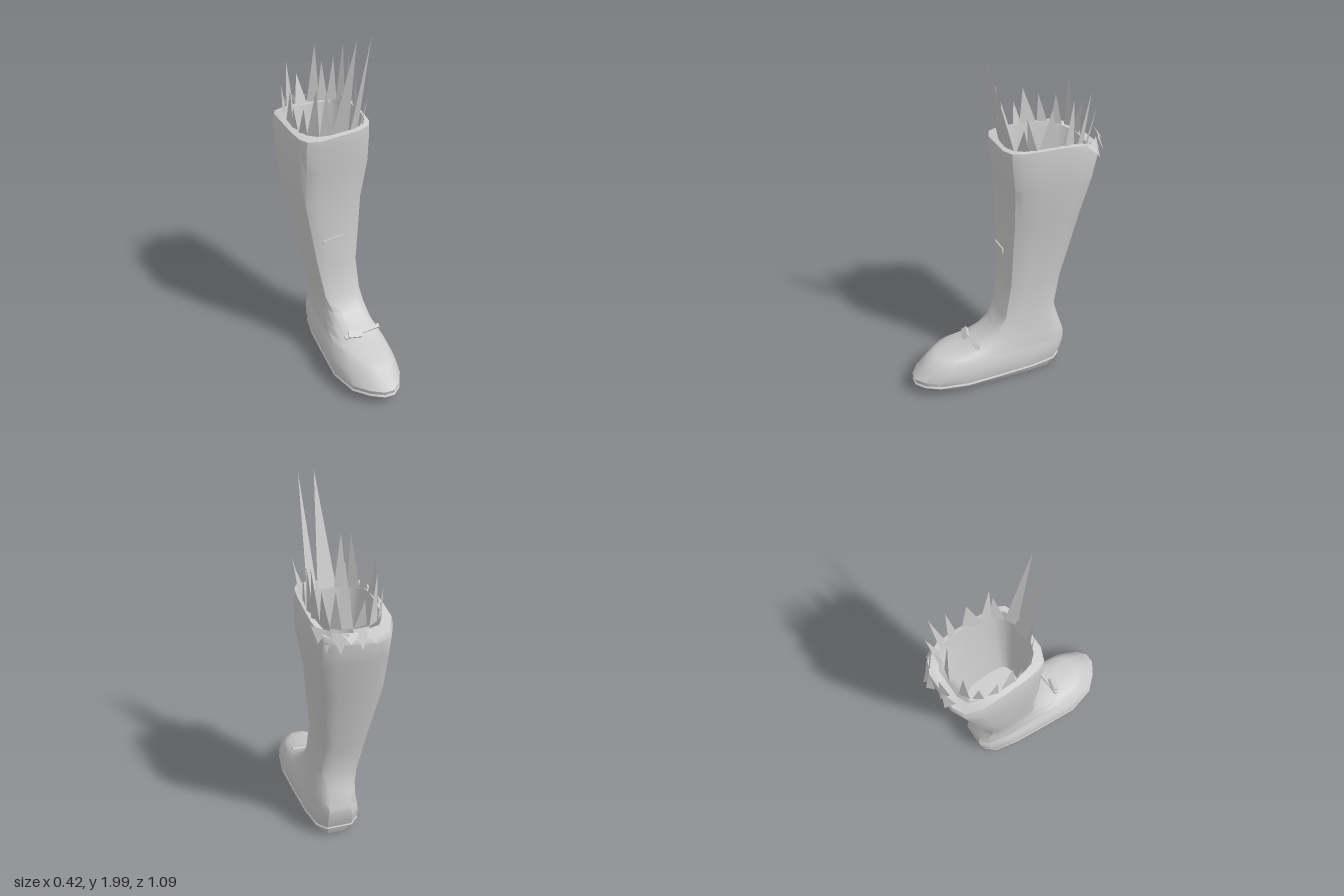
import * as THREE from 'three';
import { mergeGeometries, toCreasedNormals } from 'three/addons/utils/BufferGeometryUtils.js';

// Half outlines from back to front: [fraction of length, shaft width, foot width]
const OUTLINE = [
  [0, 0.5, 0.4], [0.06, 0.82, 0.68], [0.22, 1, 0.84], [0.45, 1, 0.93],
  [0.68, 0.98, 1], [0.86, 0.95, 0.82], [0.95, 0.86, 0.5], [1, 0.55, 0.16],
];

// One horizontal ring, counter-clockwise from above; k blends shaft to foot and
// swings the toe inward, droop lowers the back and lean tilts the ring sideways
function ring([y, zF, zB, xL, xR, k, droop = 0, lean = 0]) {
  const cx = (xL + xR) / 2, hw = (xR - xL) / 2;
  const side = (s) => OUTLINE.map(([t, a, b]) => {
    const x = cx + s * hw * (a + (b - a) * k) + 0.175 * k * Math.max(0, t - 0.8);
    return [x, y + lean * x - droop * Math.max(0, 1 - t / 0.25), zB + (zF - zB) * t];
  });
  return [...side(1).reverse(), ...side(-1)];
}

// Skins a stack of rings and closes both ends
function loft(sections, crease) {
  const rings = sections.map(ring), n = rings[0].length, index = [];
  const pos = rings.flat(2);
  for (let r = 0; r < rings.length - 1; r++) {
    for (let i = 0; i < n; i++) {
      const a = r * n + i, b = r * n + (i + 1) % n;
      index.push(a, b, a + n, b, b + n, a + n);
    }
  }
  [0, rings.length - 1].forEach((r, end) => {
    const c = pos.length / 3;
    for (let j = 0; j < 3; j++) pos.push(rings[r].reduce((s, p) => s + p[j], 0) / n);
    for (let i = 0; i < n; i++) {
      const a = r * n + i, b = r * n + (i + 1) % n;
      index.push(...(end ? [c, a, b] : [c, b, a]));
    }
  });
  const g = new THREE.BufferGeometry();
  g.setAttribute('position', new THREE.Float32BufferAttribute(pos, 3));
  g.setIndex(index);
  return toCreasedNormals(g, crease);
}

// Flat triangular shard standing on a base point, its width along the rim
function shard([x, y, z], halfWidth, tip) {
  const a = Math.atan2((z + 0.22) / 0.23, x / 0.18);
  const tx = -Math.sin(a) * halfWidth, tz = Math.cos(a) * halfWidth;
  const g = new THREE.BufferGeometry();
  g.setAttribute('position', new THREE.Float32BufferAttribute(
    [x - tx, y, z - tz, x + tx, y, z + tz, ...tip], 3));
  g.computeVertexNormals();
  return g;
}

export function createModel() {
  const group = new THREE.Group();
  const grey = new THREE.MeshStandardMaterial({ color: 0xcccccc });
  grey.name = 'pale grey';
  grey.side = THREE.DoubleSide;
  const add = (name, geometry) => {
    const m = new THREE.Mesh(geometry, grey);
    m.name = name;
    group.add(m);
    return m;
  };

  // Foot, ankle, shaft, rim and hollow inside in one skin
  add('boot', loft([
    [0.06, 0.53, -0.305, -0.135, 0.195, 1],
    [0.10, 0.54, -0.32, -0.145, 0.205, 1],
    [0.15, 0.49, -0.335, -0.137, 0.20, 0.95],
    [0.19, 0.45, -0.34, -0.12, 0.188, 0.85],
    [0.213, 0.40, -0.34, -0.105, 0.178, 0.75],
    [0.23, 0.28, -0.335, -0.10, 0.172, 0.6],
    [0.27, 0.17, -0.325, -0.095, 0.16, 0.45],
    [0.33, 0.08, -0.305, -0.09, 0.15, 0.25],
    [0.41, 0.03, -0.285, -0.10, 0.138, 0],
    [0.60, -0.002, -0.32, -0.13, 0.13, 0],
    [1.00, -0.005, -0.42, -0.20, 0.165, 0],
    [1.22, 0.01, -0.47, -0.215, 0.207, 0.1],
    [1.38, 0.03, -0.505, -0.218, 0.207, 0.1, 0.03, 0.08],
    [1.425, 0.03, -0.495, -0.21, 0.203, 0.1, 0.05, 0.08],
    [1.43, 0.005, -0.465, -0.175, 0.187, 0.4, 0.05, 0.08],
    [1.38, -0.005, -0.445, -0.17, 0.182, 0.4],
    [1.10, -0.02, -0.39, -0.145, 0.15, 0.4],
    [0.80, -0.04, -0.325, -0.12, 0.12, 0.4],
  ], 0.7));

  // Sole, bevelled inward underneath and lifted at the toe
  add('sole', loft([
    [0.005, 0.42, -0.28, -0.07, 0.15, 0.85],
    [0.04, 0.50, -0.295, -0.115, 0.18, 1],
    [0.06, 0.53, -0.30, -0.13, 0.19, 1],
  ], 0.5));

  // Thin welt between sole and foot
  add('welt', loft([
    [0.055, 0.53, -0.305, -0.136, 0.196, 1],
    [0.066, 0.541, -0.314, -0.144, 0.205, 1],
    [0.075, 0.535, -0.31, -0.14, 0.20, 1],
  ], 0.7));

  // Instep strap with its buckle, and a small tab on the shin
  const strap = add('instepStrap', new THREE.BoxGeometry(0.21, 0.012, 0.022));
  strap.position.set(0.055, 0.262, 0.2);
  strap.rotation.set(0.45, 0.08, 0.03);
  const buckle = add('strapBuckle', new THREE.BoxGeometry(0.075, 0.02, 0.036));
  buckle.position.set(0.005, 0.272, 0.217);
  buckle.rotation.set(0.7, -0.2, 0.15);
  const tab = add('shinTab', new THREE.BoxGeometry(0.12, 0.03, 0.008));
  tab.position.set(-0.03, 0.775, 0.0);
  tab.rotation.z = 0.1;

  // Ragged upright shards around the opening: base x, base z, half width, tip x, y, z
  const upright = [
    [0.01, -0.01, 0.05, 0.03, 1.99, 0.145], [0.09, -0.015, 0.035, 0.115, 1.99, 0.13],
    [0.15, -0.06, 0.04, 0.19, 1.57, -0.05], [0.17, -0.11, 0.03, 0.205, 1.64, -0.06],
    [0.18, -0.19, 0.06, 0.19, 1.66, -0.20], [0.18, -0.30, 0.035, 0.20, 1.70, -0.31],
    [0.17, -0.36, 0.03, 0.205, 1.73, -0.40], [0.14, -0.41, 0.03, 0.17, 1.63, -0.45],
    [-0.06, -0.02, 0.035, -0.07, 1.69, 0.01], [-0.12, -0.05, 0.035, -0.115, 1.70, -0.01],
    [-0.16, -0.09, 0.03, -0.165, 1.57, -0.06], [-0.175, -0.16, 0.03, -0.19, 1.55, -0.14],
    [-0.18, -0.22, 0.05, -0.185, 1.62, -0.19], [-0.175, -0.30, 0.03, -0.19, 1.57, -0.28],
    [-0.15, -0.37, 0.03, -0.165, 1.57, -0.37], [-0.10, -0.42, 0.03, -0.115, 1.68, -0.42],
    [-0.03, -0.43, 0.035, -0.04, 1.57, -0.47], [0.04, -0.43, 0.035, 0.04, 1.75, -0.40],
    [0.09, -0.42, 0.03, 0.10, 1.62, -0.45],
  ];
  add('uprightShards', mergeGeometries(upright.map(([x, z, w, ...tip]) =>
    shard([x, 1.40, z], w, tip))));

  // Torn flaps folded outward and hanging over the back of the rim
  const flaps = [
    [-0.08, 1.35, -0.525], [-0.02, 1.32, -0.515], [0.05, 1.38, -0.545],
    [0.10, 1.33, -0.535], [0.155, 1.32, -0.49], [0.19, 1.36, -0.46],
  ];
  add('tornFlaps', mergeGeometries(flaps.map(([x, y, z]) =>
    shard([x * 0.92, 1.425, z + 0.035], 0.045, [x, y, z]))));

  return group;
}
